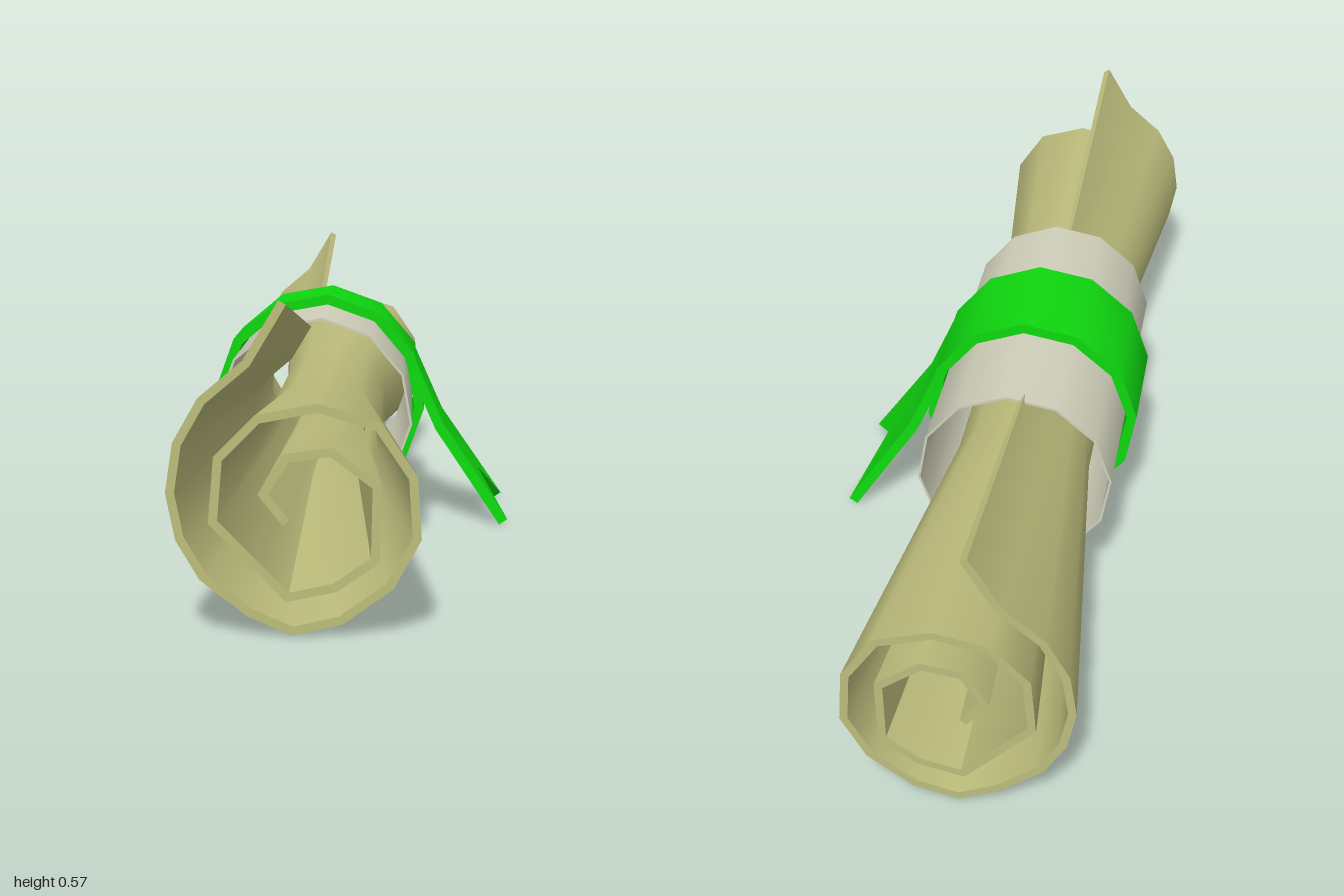
import * as THREE from 'three';
import { toCreasedNormals } from 'three/addons/utils/BufferGeometryUtils.js';

const parchment = new THREE.MeshStandardMaterial({ color: 0xbcbc7c, name: 'parchment' });
const paleBand = new THREE.MeshStandardMaterial({ color: 0xd0d0bb, name: 'paleBand' });
const greenRibbon = new THREE.MeshStandardMaterial({ color: 0x0fd80f, name: 'greenRibbon' });

// Points moved to the left of the path by t, with mitred corners
function offsetPath(path, t) {
  const normal = (a, b) => new THREE.Vector2(a.y - b.y, b.x - a.x).normalize();
  return path.map((p, i) => {
    const n1 = normal(path[Math.max(i - 1, 0)], path[Math.max(i, 1)]);
    const last = path.length - 1;
    const n2 = normal(path[Math.min(i, last - 1)], path[Math.min(i + 1, last)]);
    const m = n1.clone().add(n2).normalize();
    return p.clone().addScaledVector(m, t / m.dot(n1));
  });
}

// Closed slab between two grids of points; rows follow the path, columns follow +z
function slab(A, B, crease) {
  const pos = [];
  const quad = (a, b, c, d) => { for (const v of [a, b, c, a, c, d]) pos.push(v.x, v.y, v.z); };
  const n = A.length - 1, m = A[0].length - 1;
  for (let i = 0; i < n; i++) {
    for (let j = 0; j < m; j++) {
      quad(A[i][j], A[i + 1][j], A[i + 1][j + 1], A[i][j + 1]);
      quad(B[i][j], B[i][j + 1], B[i + 1][j + 1], B[i + 1][j]);
    }
    quad(A[i][0], B[i][0], B[i + 1][0], A[i + 1][0]);
    quad(A[i][m], A[i + 1][m], B[i + 1][m], B[i][m]);
  }
  for (let j = 0; j < m; j++) {
    quad(A[0][j], A[0][j + 1], B[0][j + 1], B[0][j]);
    quad(A[n][j], B[n][j], B[n][j + 1], A[n][j + 1]);
  }
  const g = new THREE.BufferGeometry();
  g.setAttribute('position', new THREE.Float32BufferAttribute(pos, 3));
  return toCreasedNormals(g, crease);
}

// Twelve-sided hoop around the roll
function hoop(outer, inner, z0, z1) {
  const ring = (r) => Array.from({ length: 12 }, (_, i) => {
    const a = THREE.MathUtils.degToRad(i * 30 - 5);
    return new THREE.Vector2(-0.093 + r * Math.cos(a), 0.27 + r * Math.sin(a));
  });
  const shape = new THREE.Shape(ring(outer));
  shape.holes.push(new THREE.Path(ring(inner).reverse()));
  const g = new THREE.ExtrudeGeometry(shape, { depth: z1 - z0, bevelEnabled: false });
  g.translate(0, 0, z0);
  return toCreasedNormals(g, 0.9);
}

const toPoints = (list) => list.map(([x, y]) => new THREE.Vector2(x, y));

export function createModel() {
  const model = new THREE.Group();
  const add = (name, geometry, material) => {
    const mesh = new THREE.Mesh(geometry, material);
    mesh.name = name;
    model.add(mesh);
  };

  // Rolled sheet: spiral from the loose flap to the core, pinched towards the middle
  const spiral = toPoints([
    [-0.115, 0.568], [-0.175, 0.468], [-0.25, 0.405], [-0.293, 0.33], [-0.306, 0.245],
    [-0.29, 0.165], [-0.25, 0.097], [-0.17, 0.035], [-0.095, 0.002], [-0.01, 0.022],
    [0.075, 0.083], [0.122, 0.168], [0.115, 0.275], [0.055, 0.364], [-0.05, 0.397],
    [-0.155, 0.377], [-0.225, 0.307], [-0.235, 0.193], [-0.105, 0.06], [-0.02, 0.078],
    [0.052, 0.128], [0.055, 0.262], [-0.027, 0.323], [-0.108, 0.312], [-0.152, 0.243], [-0.11, 0.19],
  ]);
  const stations = [[-1, 1], [-0.27, 0.65], [0.27, 0.65], [1, 1]];
  const pinch = (path) => path.map((p) => stations.map(([z, s]) =>
    new THREE.Vector3(-0.1 + (p.x + 0.1) * s, 0.232 + (p.y - 0.232) * s, z)));
  add('rolledSheet', slab(pinch(spiral), pinch(offsetPath(spiral, 0.015)), 0.9), parchment);

  // Paper band and ribbon loop
  add('paperBand', hoop(0.2, 0.195, -0.377, 0.328), paleBand);
  add('ribbonLoop', hoop(0.226, 0.205, -0.145, 0.095), greenRibbon);

  // Ribbon tail with a swallow-tail notch, from the tip upwards
  const tail = toPoints([[0.312, 0.013], [0.175, 0.215], [0.11, 0.362]]);
  const halfWidths = [0.146, 0.122, 0.12];
  const columns = (path) => path.map((p, i) => [-1, 0, 1].map((side) => {
    const q = i === 0 && side === 0 ? p.clone().lerp(path[1], 0.43) : p;
    return new THREE.Vector3(q.x, q.y, -0.024 + side * halfWidths[i]);
  }));
  add('ribbonTail', slab(columns(tail), columns(offsetPath(tail, 0.021)), 0.6), greenRibbon);

  return model;
}
